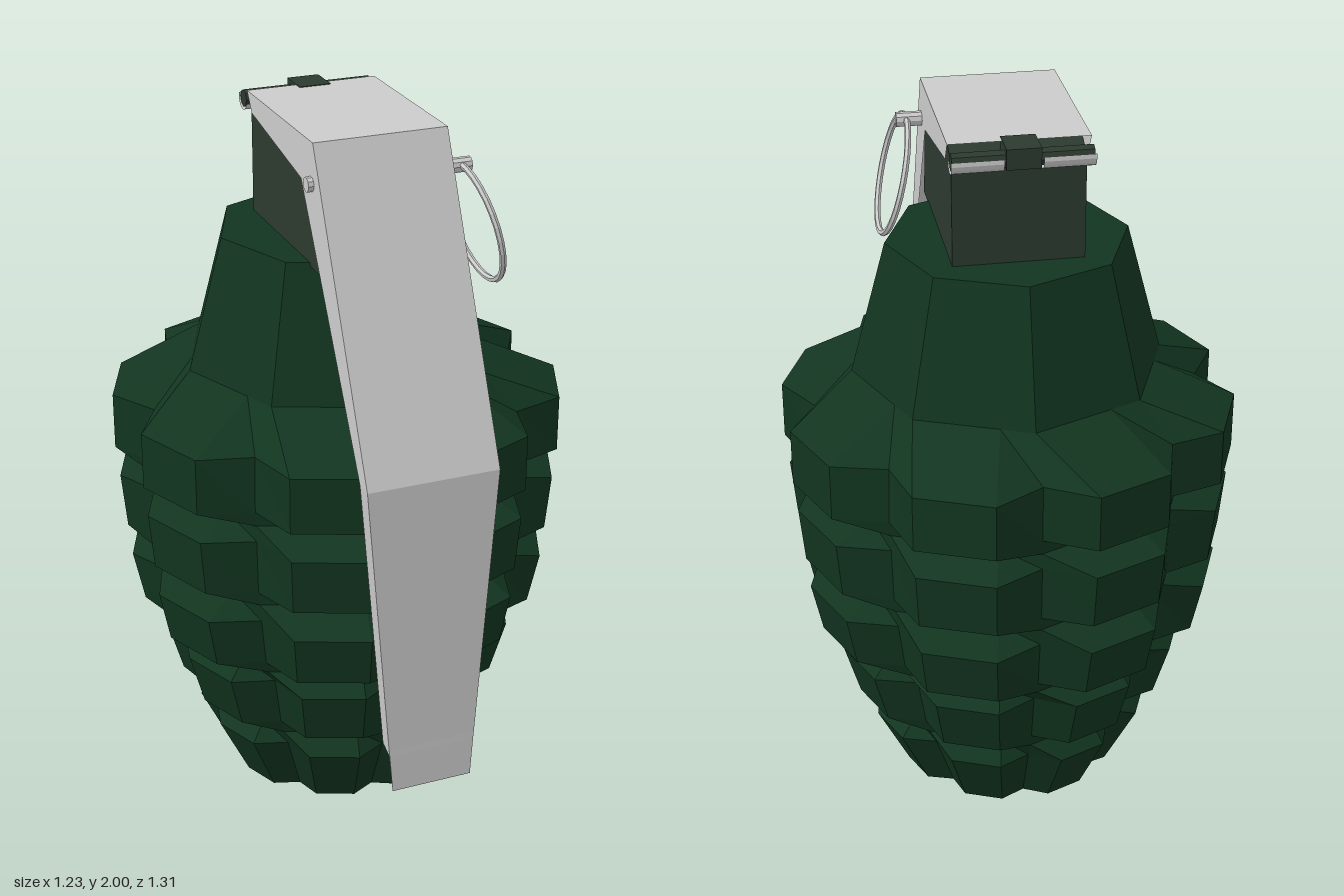
import * as THREE from 'three';

const makeMat = (color, side = THREE.FrontSide) =>
  new THREE.MeshStandardMaterial({ color, flatShading: true, side });

// Skin a list of equal-length cross-sections (arrays of [x, y, z])
function loft(sections, closed) {
  const n = sections[0].length;
  const index = [];
  for (let r = 0; r < sections.length - 1; r++) {
    for (let i = 0; i < (closed ? n : n - 1); i++) {
      const a = r * n + i, b = r * n + (i + 1) % n;
      index.push(a, a + n, b + n, a, b + n, b);
    }
  }
  const geo = new THREE.BufferGeometry();
  geo.setAttribute('position', new THREE.Float32BufferAttribute(sections.flat(2), 3));
  geo.setIndex(index);
  geo.computeVertexNormals();
  return geo;
}

// Eight-lobed ring: groove radius rv and lobe radius rt (a plain octagon when rt is left out)
function bodyRing([y, rv, rt = rv * 0.938]) {
  const ring = [];
  for (let k = 0; k < 8; k++) {
    for (const [deg, r] of [[0, rv], [12.4, rt], [32.6, rt]]) {
      const t = THREE.MathUtils.degToRad(k * 45 + deg);
      ring.push([r * Math.sin(t), y, r * Math.cos(t)]);
    }
  }
  return ring;
}

export function createModel() {
  const group = new THREE.Group();
  const green = makeMat(0x123520);
  const dark = makeMat(0x2c3a2f);
  const grey = makeMat(0xcccccc);
  const greySheet = makeMat(0xcccccc, THREE.DoubleSide);

  const add = (name, geo, material, x = 0, y = 0, z = 0) => {
    const mesh = new THREE.Mesh(geo, material);
    mesh.name = name;
    mesh.position.set(x, y, z);
    group.add(mesh);
    return mesh;
  };

  // Body: neck, shoulder and five rows of blocks parted by grooves
  const rings = [
    [1.66, 0], [1.66, 0.33], [1.29, 0.43],
    [1.19, 0.535, 0.628], [1.03, 0.54, 0.628], [0.987, 0.535],
    [0.94, 0.535, 0.618], [0.78, 0.53, 0.603], [0.74, 0.525],
    [0.685, 0.515, 0.594], [0.537, 0.49, 0.563], [0.5, 0.478],
    [0.447, 0.435, 0.505], [0.29, 0.4, 0.46], [0.246, 0.385],
    [0.19, 0.355, 0.41], [0, 0.275, 0.317], [0, 0],
  ];
  add('body', loft(rings.map(bodyRing), true), green, 0, 0, -0.043);

  // Head: side profile in (z, y), extruded across the width
  const profile = new THREE.Shape([
    [-0.22, 1.65], [0.3, 1.65], [0.25, 1.97], [-0.17, 1.97], [-0.22, 1.94],
  ].map(([z, y]) => new THREE.Vector2(z, y)));
  const headGeo = new THREE.ExtrudeGeometry(profile, { depth: 0.35, bevelEnabled: false });
  headGeo.translate(0, 0, -0.175).rotateY(-Math.PI / 2);
  add('head', headGeo, dark);

  // Lever: folded channel; outer z, y, then flange edge z, y, then half width
  const stations = [
    [-0.225, 1.998, -0.19, 1.945, 0.185],
    [0.265, 1.998, 0.18, 1.88, 0.185],
    [0.635, 1.19, 0.585, 1.19, 0.185],
    [0.653, 0.41, 0.61, 0.41, 0.125],
    [0.654, 0.39, 0.65, 0.39, 0.123],
    [0.657, 0.28, 0.657, 0.28, 0.115],
  ];
  const channel = stations.map(([z, y, fz, fy, w]) =>
    [[-w, fy, fz], [-w, y, z], [w, y, z], [w, fy, fz]]);
  add('lever', loft(channel, false), greySheet);

  // Hinge: bar, centre hook and the two curled lever ends
  const bar = new THREE.CylinderGeometry(0.024, 0.024, 0.365, 8).rotateZ(Math.PI / 2);
  add('hingeBar', bar, dark, 0, 1.966, -0.262);
  add('hingeHook', new THREE.BoxGeometry(0.09, 0.055, 0.095), dark, 0, 1.9725, -0.2425);
  for (const side of [-1, 1]) {
    const curl = new THREE.CylinderGeometry(0.031, 0.031, 0.135, 8, 1, true, Math.PI / 2, Math.PI);
    curl.rotateZ(Math.PI / 2).rotateX(-Math.PI / 2 + 0.3);
    // keep the open side of the curl facing up
    curl.computeBoundingBox();
    if (curl.boundingBox.max.y > 0.025) curl.rotateX(Math.PI);
    add('hingeCurl', curl, greySheet, side * 0.1175, 1.966, -0.262);
  }

  // Safety pin and pull ring
  const pin = new THREE.CylinderGeometry(0.02, 0.02, 0.455, 10).rotateZ(Math.PI / 2);
  add('safetyPin', pin, grey, 0.0275, 1.887, 0.254);
  const ring = add('pullRing', new THREE.TorusGeometry(0.166, 0.009, 6, 28), grey, 0.268, 1.73, 0.257);
  ring.rotation.set(0, Math.PI / 2, 0.25, 'ZYX');

  return group;
}
